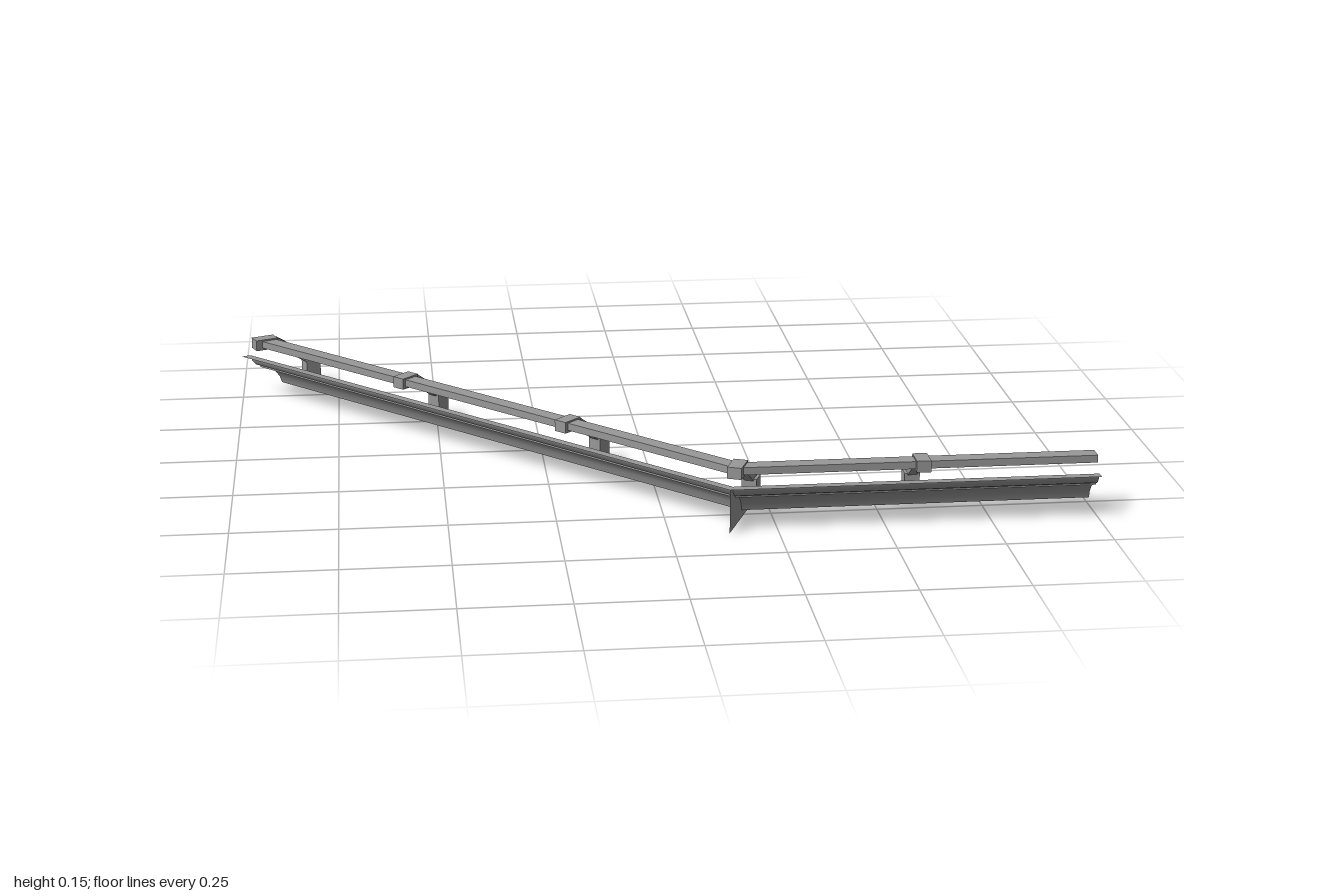
import * as THREE from 'three';
import { toCreasedNormals } from 'three/addons/utils/BufferGeometryUtils.js';

const grey = new THREE.MeshStandardMaterial({ color: 0x999999 });
const greyThin = new THREE.MeshStandardMaterial({ color: 0x999999, side: THREE.DoubleSide });

// Stations along the outer lip: position, inward direction, and stretch at mitres
const MITRE = 1 / Math.cos(Math.PI / 8);
const station = (x, z, degrees, stretch = 1) => ({
  x, z, stretch,
  dx: Math.sin(THREE.MathUtils.degToRad(degrees)),
  dz: -Math.cos(THREE.MathUtils.degToRad(degrees)),
});
const rightEnd = station(1, 0.62, 0);
const corner = station(0.137, 0.62, 22.5, MITRE);
const leftEnd = station(-1, -0.522, 67.5, MITRE);
const along = (t) => station(
  THREE.MathUtils.lerp(corner.x, leftEnd.x, t),
  THREE.MathUtils.lerp(corner.z, leftEnd.z, t), 45);

// Trough cross-section: distance inward from the lip, height
const trough = [
  [0, 0.105], [0.022, 0.105], [0.026, 0.09], [0.035, 0.078], [0.046, 0.073], [0.046, 0.069],
  [0.06, 0.066], [0.074, 0.06], [0.086, 0.049], [0.095, 0.035], [0.1, 0.018],
  [0.163, 0.018], [0.163, 0],
];

// Rail cross-section, undercut on its inner side
const rail = [[0.042, 0.125], [0.042, 0.143], [0.079, 0.143], [0.079, 0.139], [0.068, 0.125]];

// Sweep a cross-section through the stations
function sweep(name, profile, closed) {
  const stations = [rightEnd, corner, leftEnd];
  const at = (s, [v, y]) => [s.x + s.dx * v * s.stretch, y, s.z + s.dz * v * s.stretch];
  const pos = [];
  const triangle = (a, b, c) => pos.push(...a, ...b, ...c);
  const count = closed ? profile.length : profile.length - 1;
  for (let i = 0; i < stations.length - 1; i++) {
    const s = stations[i], t = stations[i + 1];
    for (let j = 0; j < count; j++) {
      const p = profile[j], q = profile[(j + 1) % profile.length];
      triangle(at(s, p), at(s, q), at(t, q));
      triangle(at(s, p), at(t, q), at(t, p));
    }
  }
  // End caps
  for (let j = 1; closed && j < profile.length - 1; j++) {
    triangle(at(rightEnd, profile[0]), at(rightEnd, profile[j + 1]), at(rightEnd, profile[j]));
    triangle(at(leftEnd, profile[0]), at(leftEnd, profile[j]), at(leftEnd, profile[j + 1]));
  }
  const geo = new THREE.BufferGeometry();
  geo.setAttribute('position', new THREE.Float32BufferAttribute(pos, 3));
  const mesh = new THREE.Mesh(toCreasedNormals(geo, 0.6), greyThin);
  mesh.name = name;
  return mesh;
}

// Group whose local +z points outward from a station
function place(name, s) {
  const g = new THREE.Group();
  g.name = name;
  g.position.set(s.x, 0, s.z);
  g.rotation.y = Math.atan2(-s.dx, -s.dz);
  g.scale.z = s.stretch;
  return g;
}

// Bracket piece: side outline (inward distance, height) given a width
function slab(name, outline, width) {
  const shape = new THREE.Shape(outline.map(([v, y]) => new THREE.Vector2(v, y)));
  const geo = new THREE.ExtrudeGeometry(shape, { depth: width, bevelEnabled: false });
  geo.translate(0, 0, -width / 2).rotateY(Math.PI / 2);
  const mesh = new THREE.Mesh(geo, grey);
  mesh.name = name;
  return mesh;
}

function bracket(s) {
  const g = place('bracket', s);
  g.add(
    slab('post', [[0.16, 0], [0.196, 0], [0.196, 0.072], [0.16, 0.072]], 0.036),
    slab('arm', [[0.08, 0.124], [0.16, 0.068], [0.188, 0.068], [0.182, 0.078], [0.094, 0.143], [0.08, 0.143]], 0.022),
    slab('railClamp', [[0.033, 0.119], [0.088, 0.119], [0.088, 0.147], [0.033, 0.147]], 0.034),
  );
  return g;
}

export function createModel() {
  const model = new THREE.Group();
  model.name = 'angledTroughWithRail';
  model.add(sweep('trough', trough, false), sweep('rail', rail, true));

  // Upright plate under the trough at the corner
  const plate = place('cornerPlate', corner);
  const shape = new THREE.Shape([[0, 0], ...trough].map(([v, y]) => new THREE.Vector2(v, y)));
  const plateMesh = new THREE.Mesh(new THREE.ShapeGeometry(shape).rotateY(Math.PI / 2), greyThin);
  plateMesh.name = 'plate';
  plate.add(plateMesh);
  model.add(plate);

  // Brackets: one on the short run, one at the corner, three on the long run
  for (const s of [station(0.59, 0.62, 0), corner, along(1 / 3), along(2 / 3), leftEnd]) {
    model.add(bracket(s));
  }
  return model;
}
